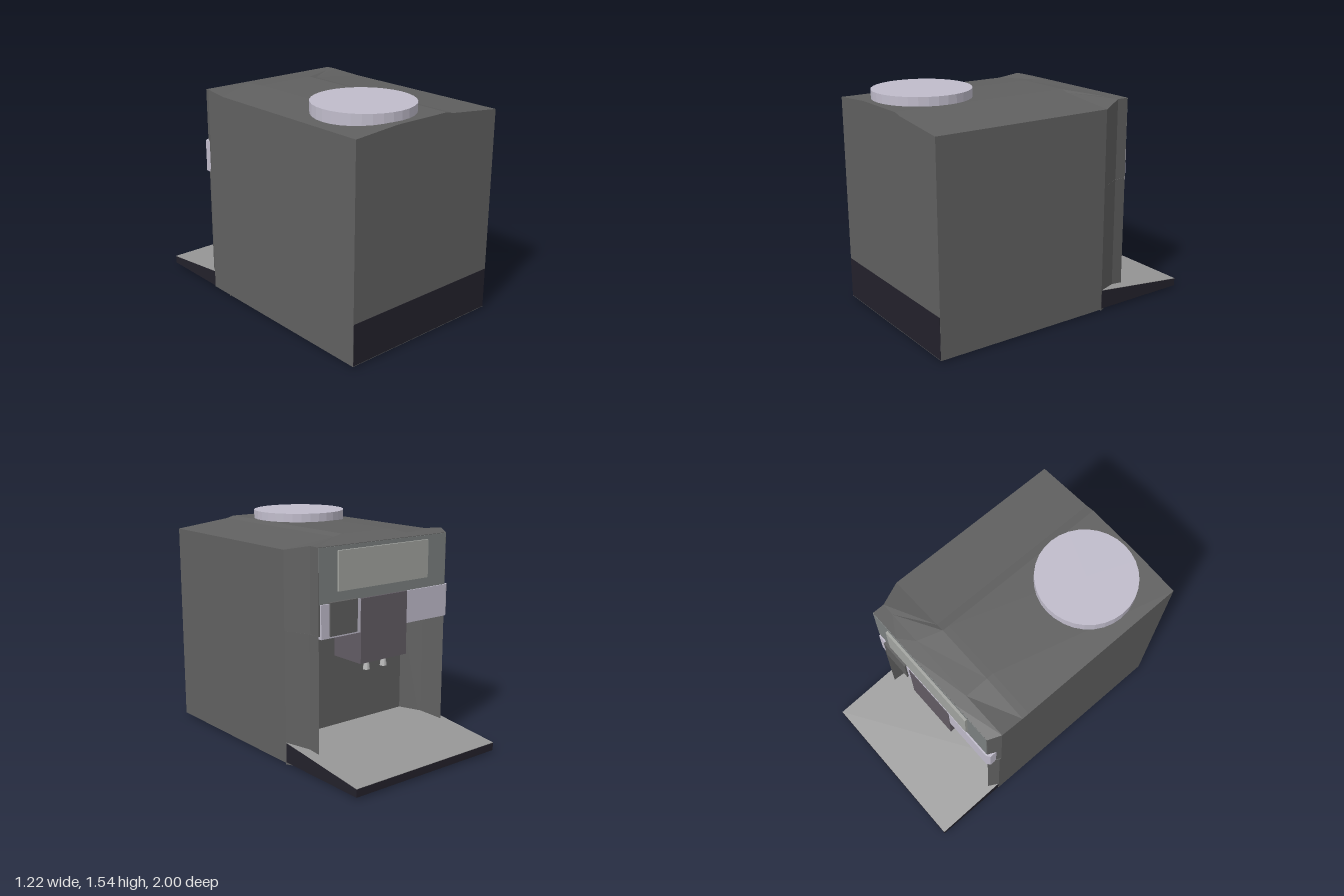
import * as THREE from 'three';

const BODY = 0x606060, LILAC = 0xc0bccb, DARK = 0x23212b;

function part(name, geometry, color) {
  const material = new THREE.MeshStandardMaterial({ color, flatShading: true });
  const mesh = new THREE.Mesh(geometry, material);
  mesh.name = name;
  return mesh;
}

// Box given by its limits
function box(x0, x1, y0, y1, z0, z1) {
  return new THREE.BoxGeometry(x1 - x0, y1 - y0, z1 - z0)
    .translate((x0 + x1) / 2, (y0 + y1) / 2, (z0 + z1) / 2);
}

// Plan outline of [x, z] points raised from y0 to y1
function raise(points, y0, y1) {
  const shape = new THREE.Shape(points.map(([x, z]) => new THREE.Vector2(x, -z)));
  return new THREE.ExtrudeGeometry(shape, { depth: y1 - y0, bevelEnabled: false })
    .rotateX(-Math.PI / 2).translate(0, y0, 0);
}

// Solid through [z, loop of [x, y]] sections, z rising, loops counter-clockwise
function loft(sections) {
  const n = sections[0][1].length, position = [], index = [];
  for (const [z, loop] of sections) for (const [x, y] of loop) position.push(x, y, z);
  for (let s = 0; s < sections.length - 1; s++) {
    for (let i = 0; i < n; i++) {
      const a = s * n + i, b = s * n + (i + 1) % n;
      index.push(a, b, b + n, a, b + n, a + n);
    }
  }
  const last = (sections.length - 1) * n;
  for (let i = 1; i < n - 1; i++) {
    index.push(0, i + 1, i, last, last + i, last + i + 1);
  }
  const g = new THREE.BufferGeometry();
  g.setAttribute('position', new THREE.Float32BufferAttribute(position, 3));
  g.setIndex(index);
  const flat = g.toNonIndexed();
  flat.computeVertexNormals();
  return flat;
}

// Section loop: top points run from +x to -x, closed down to the bottom height
function section(top, bottom) {
  return [[top[0][0], bottom], ...top, [top[top.length - 1][0], bottom]];
}

const slab = (w, y0, y1) => section([[w, y1], [-w, y1]], y0);

export function createModel() {
  const model = new THREE.Group();

  // Housing with a gently crowned top
  const crown = [[0.61, 1.42], [0.2, 1.465], [0.14, 1.48], [-0.28, 1.48], [-0.61, 1.455]];
  model.add(part('housing', loft([
    [-0.24, section(crown, 0.01)],
    [0.998, section(crown, 0.01)],
  ]), BODY));

  // Head over the cup niche, rising to a lip and narrowing
  const ridge = [[0.53, 1.455], [0.44, 1.455], [0.2, 1.462], [-0.28, 1.468], [-0.61, 1.475]];
  const brow = [[0.53, 1.455], [0.3, 1.455], [0.14, 1.455], [-0.28, 1.455], [-0.57, 1.455]];
  model.add(part('head', loft([
    [-0.54, section(brow, 0.9)],
    [-0.455, section(ridge, 0.9)],
    [-0.29, section(crown, 0.9)],
    [-0.24, section(crown, 0.9)],
  ]), BODY));

  // Side posts of the niche
  model.add(part('leftPost', raise([
    [0.61, -0.24], [0.61, -0.29], [0.535, -0.45], [0.53, -0.54], [0.515, -0.38], [0.45, -0.24],
  ], 0.01, 0.9), BODY));
  model.add(part('rightPost', raise([
    [-0.61, -0.24], [-0.61, -0.47], [-0.57, -0.54], [-0.54, -0.37], [-0.45, -0.24],
  ], 0.01, 0.9), BODY));
  model.add(part('underLip', raise([[0.61, -0.29], [0.53, -0.45], [-0.61, -0.29]], 0, 0.016), BODY));

  // Wedge base reaching out as the drip tray
  model.add(part('base', loft([
    [-1, slab(0.608, 0.015, 0.068)],
    [1, slab(0.608, 0.015, 0.298)],
  ]), DARK));
  model.add(part('trayTop', loft([
    [-1, slab(0.608, 0.064, 0.071)],
    [-0.235, slab(0.608, 0.152, 0.159)],
  ]), 0x979797));

  // Control panel with display, band and button
  model.add(part('frontPanel', box(-0.565, 0.528, 1.1, 1.452, -0.543, -0.53), 0x7c8080));
  model.add(part('display', box(-0.385, 0.385, 1.17, 1.425, -0.56, -0.53), 0xa2a4a0));
  model.add(part('band', raise([
    [0.52, -0.36], [0.52, -0.553], [-0.57, -0.553], [-0.595, -0.535], [-0.595, -0.47], [-0.53, -0.36],
  ], 0.88, 1.1), LILAC));
  model.add(part('button', box(0.235, 0.455, 0.893, 1.108, -0.565, -0.53), BODY));

  // Spout block with two nozzles
  model.add(part('spout', box(-0.2, 0.2, 0.67, 1.1, -0.557, -0.29), 0x625c64));
  for (const [side, x] of [['left', 0.075], ['right', -0.075]]) {
    const nozzle = part(side + 'Nozzle', new THREE.CylinderGeometry(0.014, 0.024, 0.08, 12), 0xb8b8b8);
    nozzle.position.set(x, 0.635, -0.47);
    model.add(nozzle);
  }

  // Round lid
  const lid = part('lid', new THREE.CylinderGeometry(0.333, 0.333, 0.1, 32), LILAC);
  lid.position.set(-0.195, 1.49, 0.617);
  model.add(lid);

  return model;
}
